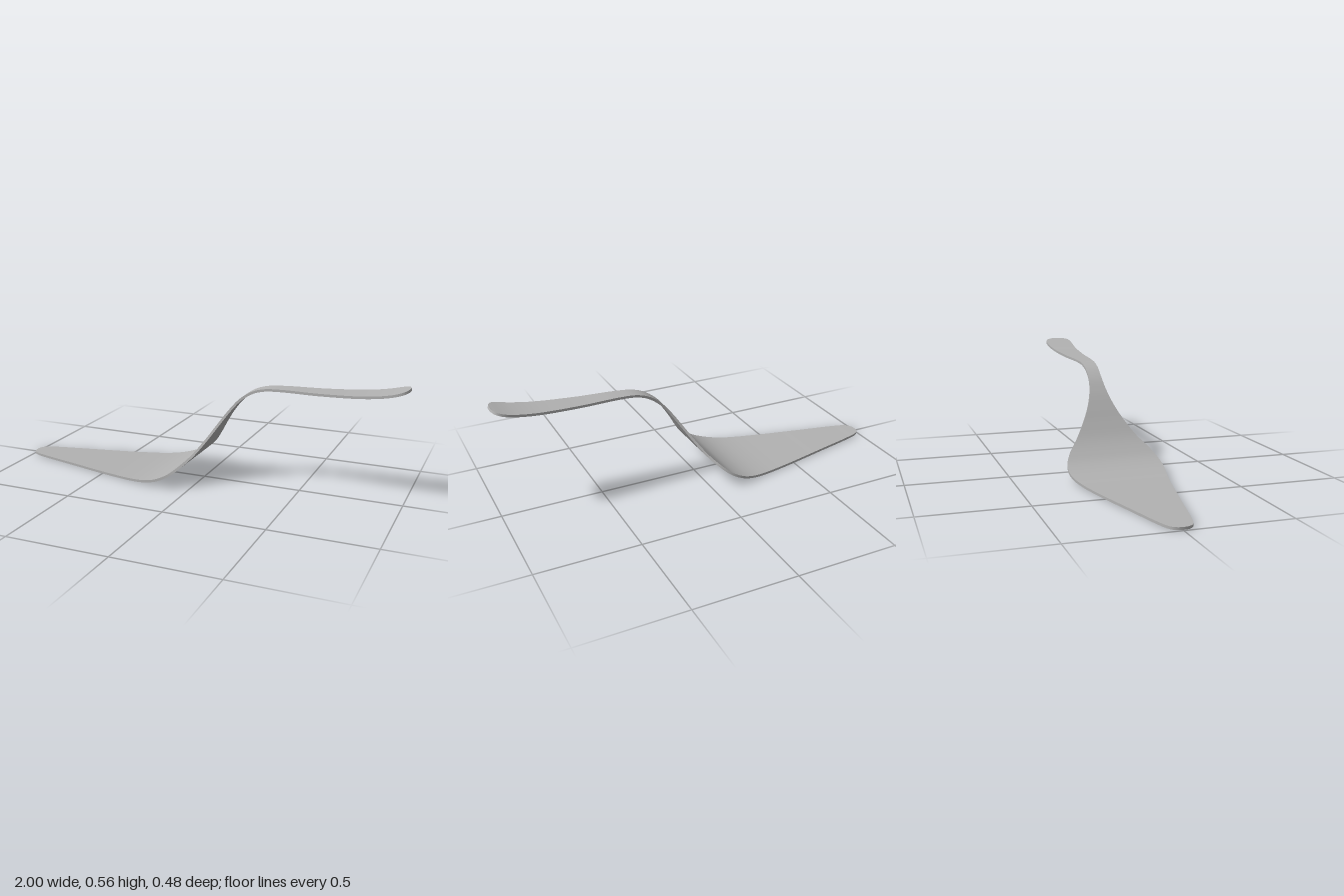
import * as THREE from 'three';

const THICKNESS = 0.012;
const SAMPLES = 260;

// Stations along the server: x, centre height y, half width
const stations = [
  [-1, 0.011, 0.002], [-0.998, 0.011, 0.02], [-0.985, 0.011, 0.043], [-0.96, 0.011, 0.058],
  [-0.9, 0.0105, 0.076], [-0.7, 0.009, 0.122], [-0.45, 0.008, 0.18], [-0.3, 0.0125, 0.214],
  [-0.22, 0.023, 0.232], [-0.16, 0.04, 0.24], [-0.1, 0.069, 0.232], [-0.05, 0.109, 0.206],
  [0, 0.16, 0.16], [0.05, 0.229, 0.112], [0.1, 0.306, 0.07], [0.15, 0.378, 0.044],
  [0.2, 0.435, 0.034], [0.26, 0.476, 0.034], [0.32, 0.495, 0.036], [0.4, 0.502, 0.04],
  [0.6, 0.506, 0.053], [0.8, 0.518, 0.066], [0.9, 0.533, 0.072], [0.95, 0.545, 0.072],
  [0.98, 0.554, 0.06], [0.994, 0.558, 0.038], [0.999, 0.5597, 0.018], [1, 0.56, 0.002],
];

// Surface between two rows of points
function strip(a, b) {
  const index = [];
  const n = a.length;
  for (let i = 0; i < n - 1; i++) index.push(i, i + 1, n + i, i + 1, n + i + 1, n + i);
  const geometry = new THREE.BufferGeometry().setFromPoints([...a, ...b]);
  geometry.setIndex(index);
  geometry.computeVertexNormals();
  return geometry;
}

export function createModel() {
  const group = new THREE.Group();
  group.name = 'cakeServer';
  const steel = new THREE.MeshStandardMaterial({ color: 0xb2b2b2 });
  steel.name = 'brushed steel';

  const curve = new THREE.CatmullRomCurve3(stations.map((s) => new THREE.Vector3(...s)));
  curve.arcLengthDivisions = 1000;
  const points = curve.getSpacedPoints(SAMPLES);

  // Offset the centre line to both sides of the sheet
  const row = (up, side) => points.map((p, i) => {
    const before = points[Math.max(i - 3, 0)];
    const after = points[Math.min(i + 3, SAMPLES)];
    const normal = new THREE.Vector2(before.y - after.y, after.x - before.x).normalize();
    const d = up * THICKNESS / 2;
    return new THREE.Vector3(p.x + normal.x * d, p.y + normal.y * d, side * p.z);
  });
  const topLeft = row(1, 1);
  const topRight = row(1, -1);
  const bottomLeft = row(-1, 1);
  const bottomRight = row(-1, -1);

  const add = (name, a, b) => {
    const mesh = new THREE.Mesh(strip(a, b), steel);
    mesh.name = name;
    group.add(mesh);
  };
  add('upperFace', topLeft, topRight);
  add('lowerFace', bottomRight, bottomLeft);

  // Thin edge running all the way round
  const loop = (left, right) => [...left, ...[...right].reverse(), left[0]];
  add('rim', loop(bottomLeft, bottomRight), loop(topLeft, topRight));
  return group;
}
